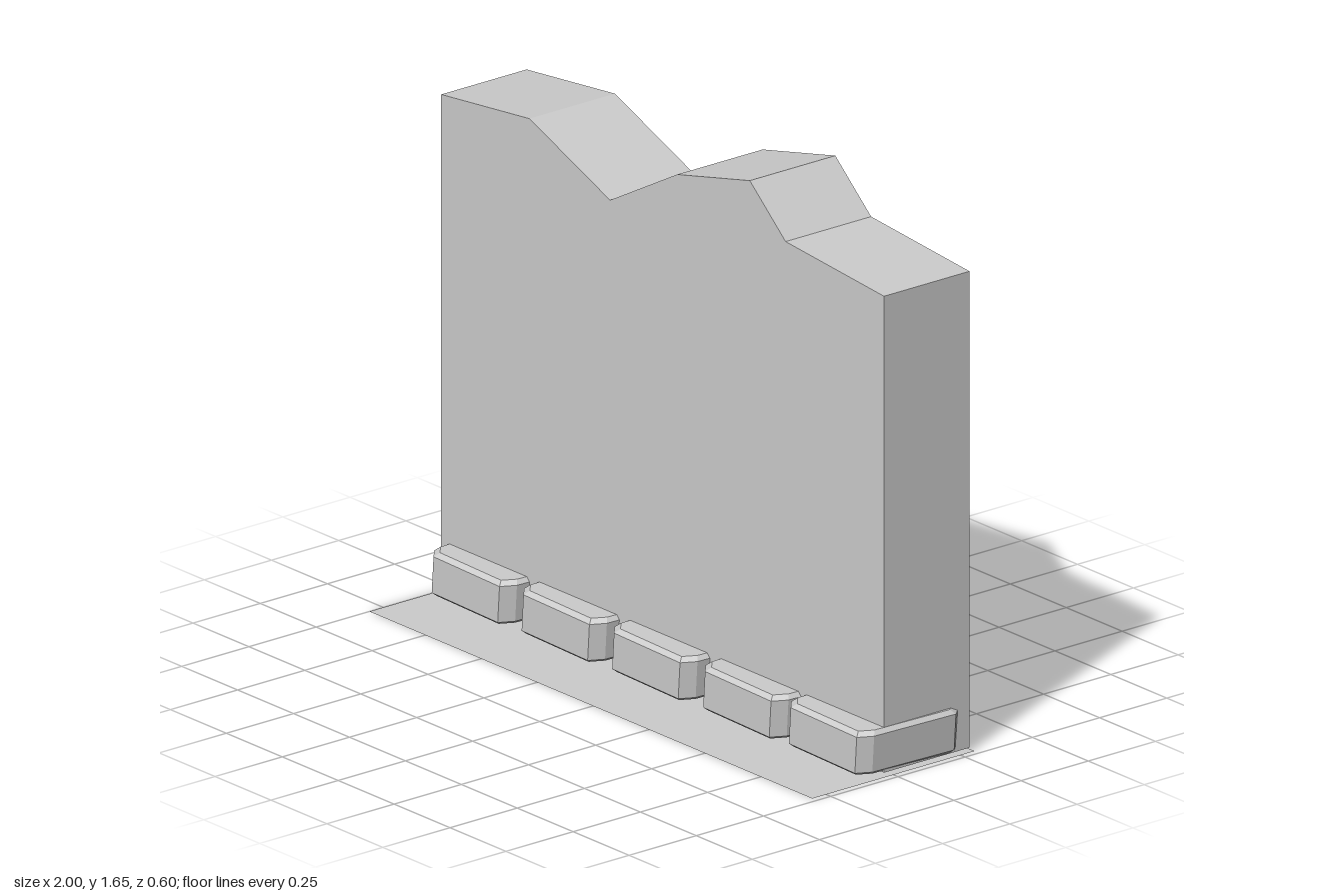
import * as THREE from 'three';

const grey = new THREE.MeshStandardMaterial({ color: 0xcccccc, flatShading: true });
const thin = new THREE.MeshStandardMaterial({ color: 0xcccccc, flatShading: true, side: THREE.DoubleSide });

// Plan outline of one stone (x from its left edge, z), front-left corner onwards
const PLAN = [
  [0.045, 0.115], [0.352, 0.125], [0.376, 0.08], [0.387, -0.215],
  [0.365, -0.24], [0.03, -0.24], [0, -0.21], [0.006, 0.08],
];
// Height, inset and sideways lean of each ring of the stone
const RINGS = [[0.018, 0.012, -0.004], [0.028, 0, -0.004], [0.14, 0, 0.004], [0.153, 0.014, 0.006]];

// Loft the rings into a closed, chamfered stone
function stoneGeometry() {
  const n = PLAN.length, pos = [], idx = [];
  const cx = 0.19, cz = -0.06;
  for (const [y, inset, lean] of RINGS) {
    for (const [x, z] of PLAN) {
      pos.push(
        cx + (x - cx) * (1 - inset / 0.19) + lean, y,
        cz + (z - cz) * (1 - inset / 0.18));
    }
  }
  for (let r = 0; r < RINGS.length - 1; r++) {
    for (let i = 0; i < n; i++) {
      const a = r * n + i, b = r * n + (i + 1) % n;
      idx.push(a, b, b + n, a, b + n, a + n);
    }
  }
  const top = (RINGS.length - 1) * n;
  for (let i = 1; i < n - 1; i++) {
    idx.push(top, top + i, top + i + 1, 0, i + 1, i);
  }
  const g = new THREE.BufferGeometry();
  g.setAttribute('position', new THREE.Float32BufferAttribute(pos, 3));
  g.setIndex(idx);
  const flat = g.toNonIndexed();
  flat.computeVertexNormals();
  return flat;
}

export function createModel() {
  const group = new THREE.Group();
  const add = (name, geometry, material = grey) => {
    const mesh = new THREE.Mesh(geometry, material);
    mesh.name = name;
    group.add(mesh);
    return mesh;
  };

  // Wall slab with a broken top edge
  const outline = [
    [-1, 0.015], [0.98, 0.015], [0.98, 1.47], [0.54, 1.51], [0.38, 1.65],
    [0.055, 1.575], [-0.245, 1.41], [-0.605, 1.555], [-1, 1.515],
  ].map(([x, y]) => new THREE.Vector2(x, y));
  const wall = new THREE.ExtrudeGeometry(new THREE.Shape(outline), { depth: 0.318, bevelEnabled: false });
  add('wall', wall.translate(0, 0, -0.283));

  // Thin ground sheet
  const sheet = new THREE.PlaneGeometry(1.98, 0.604).rotateX(-Math.PI / 2);
  add('groundSheet', sheet.translate(-0.01, 0, 0), thin);

  // Row of stones set into the foot of the wall
  const stone = stoneGeometry();
  [-0.987, -0.585, -0.18, 0.227, 0.61].forEach((x, i) => {
    add(`footStone${i + 1}`, stone).position.x = x;
  });

  return group;
}
